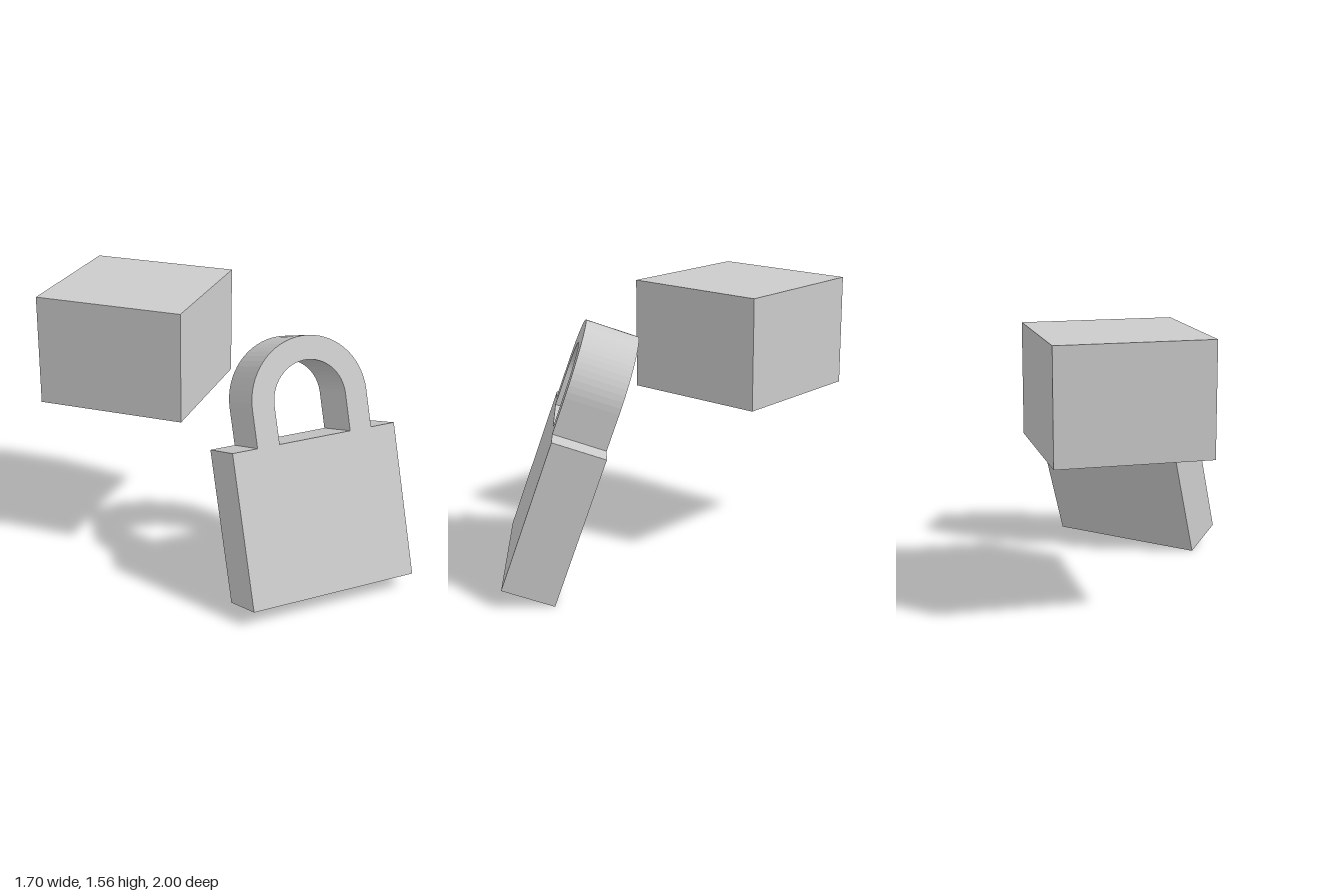
import * as THREE from 'three';

const grey = new THREE.MeshStandardMaterial({ color: 0xcccccc, flatShading: true });

// Padlock outline: square body with the shackle rising flush from its top
function padlockShape(halfWidth, bodyTop, outerR, innerR, arcY) {
  const shape = new THREE.Shape();
  shape.moveTo(-halfWidth, 0);
  shape.lineTo(halfWidth, 0);
  shape.lineTo(halfWidth, bodyTop);
  shape.lineTo(outerR, bodyTop);
  shape.lineTo(outerR, arcY);
  shape.absarc(0, arcY, outerR, 0, Math.PI, false);
  shape.lineTo(-outerR, bodyTop);
  shape.lineTo(-halfWidth, bodyTop);
  shape.closePath();

  // Opening under the shackle
  const hole = new THREE.Path();
  hole.moveTo(-innerR, bodyTop);
  hole.lineTo(-innerR, arcY);
  hole.absarc(0, arcY, innerR, Math.PI, 0, true);
  hole.lineTo(innerR, bodyTop);
  hole.closePath();
  shape.holes.push(hole);
  return shape;
}

export function createModel() {
  const model = new THREE.Group();

  // Block floating behind, turned by an eighth
  const side = 0.61 * Math.SQRT2;
  const block = new THREE.Mesh(new THREE.BoxGeometry(side, 0.635, side), grey);
  block.name = 'block';
  block.position.set(-0.24, 1.24, -0.39);
  block.rotation.y = Math.PI / 4;
  model.add(block);

  // Padlock leaning back, resting on its lower back edge
  const padlock = new THREE.Mesh(
    new THREE.ExtrudeGeometry(padlockShape(0.498, 0.868, 0.35, 0.218, 1.077), {
      depth: 0.3, bevelEnabled: false, curveSegments: 16,
    }),
    grey,
  );
  padlock.name = 'padlock';
  padlock.rotation.order = 'YXZ';
  padlock.rotation.set(THREE.MathUtils.degToRad(-19.4), THREE.MathUtils.degToRad(-0.9), 0);
  padlock.position.set(0.343, 0, 0.709);
  model.add(padlock);

  return model;
}
